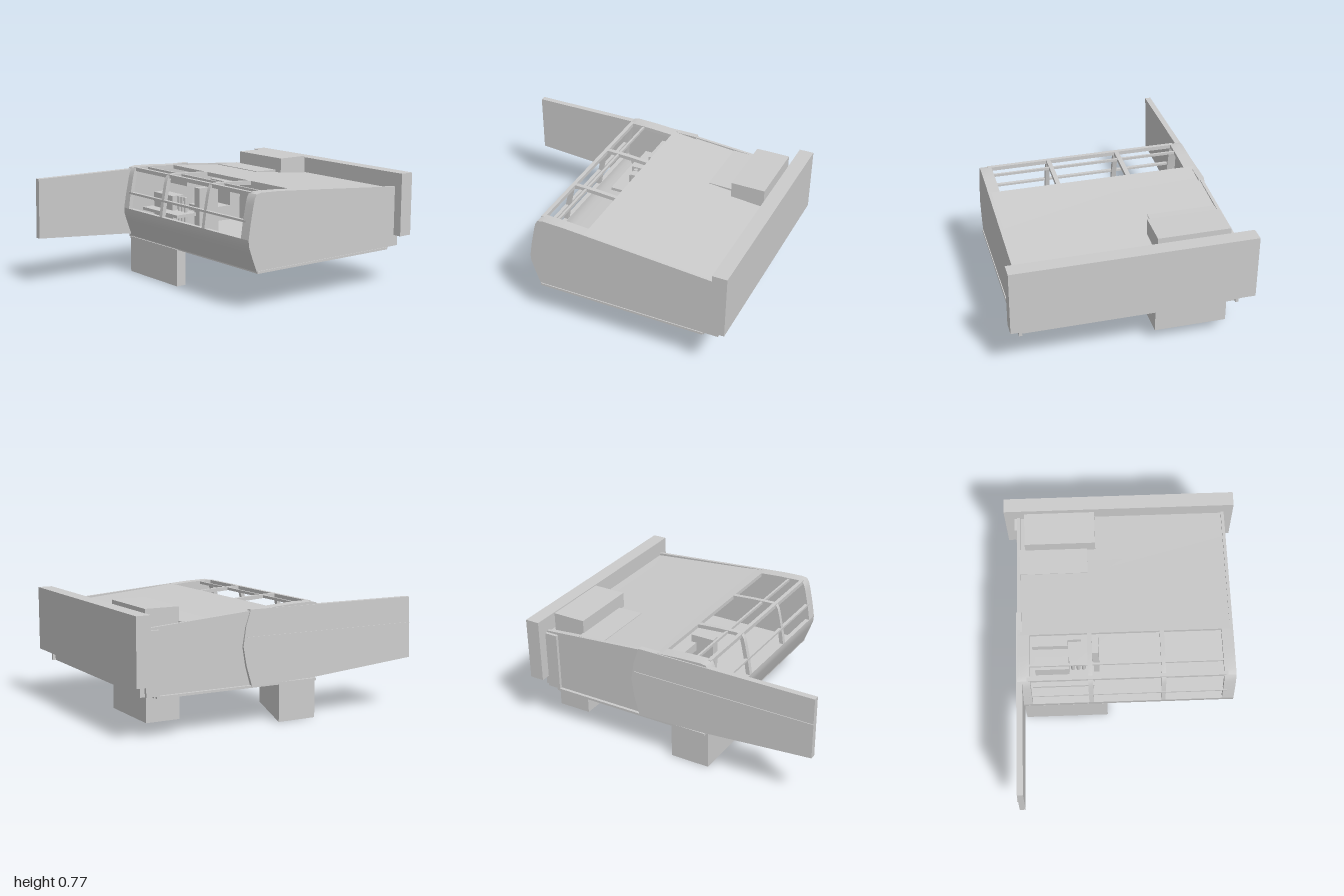
import * as THREE from 'three';
import { toCreasedNormals } from 'three/addons/utils/BufferGeometryUtils.js';

const material = new THREE.MeshStandardMaterial({ color: 0xcccccc, side: THREE.DoubleSide });

export function createModel() {
  const model = new THREE.Group();
  const add = (name, geometry) => {
    const mesh = new THREE.Mesh(geometry, material);
    mesh.name = name;
    model.add(mesh);
    return mesh;
  };
  // box given by its limits on each axis
  const box = (name, x0, x1, y0, y1, z0, z1) => {
    const g = new THREE.BoxGeometry(x1 - x0, y1 - y0, z1 - z0);
    g.translate((x0 + x1) / 2, (y0 + y1) / 2, (z0 + z1) / 2);
    return add(name, g);
  };
  // outline in (z, y), extruded from x0 to x1
  const prism = (name, points, x0, x1) => {
    const shape = new THREE.Shape(points.map(([z, y]) => new THREE.Vector2(z, y)));
    const g = new THREE.ExtrudeGeometry(shape, { depth: x1 - x0, bevelEnabled: false });
    g.rotateY(-Math.PI / 2).translate(x1, 0, 0);
    return add(name, toCreasedNormals(g, 0.5));
  };

  // curved nose: lower panel and window frame share one line
  const nose = [[0.272, 0.255], [0.298, 0.32], [0.32, 0.38], [0.334, 0.42], [0.337, 0.46]];
  const screen = [[0.337, 0.46], [0.322, 0.56], [0.3, 0.67], [0.29, 0.71], [0.275, 0.735],
    [0.24, 0.742], [0.1, 0.737], [-0.04, 0.727]];
  const noseInner = nose.map(([z, y]) => [z - 0.03, y]).reverse();
  const screenInner = screen.map(([z, y], i) =>
    (i < 4 ? [z - 0.028, y] : i < 6 ? [z - 0.025, y - 0.022] : [z, y - 0.025])).reverse();

  // front panel, corner pillars and mullions
  prism('frontPanel', [...nose, ...noseInner], -0.68, 0.7);
  for (const [x0, x1, name] of [[-0.68, -0.6, 'cornerPillar'], [0.625, 0.7, 'cornerPillar'],
    [-0.235, -0.205, 'windowMullion'], [0.23, 0.258, 'windowMullion']]) {
    prism(name, [...screen, ...screenInner], x0, x1);
  }

  // horizontal window bars
  box('middleWindowBar', -0.62, 0.65, 0.56, 0.574, 0.3, 0.322);
  box('upperWindowBar', -0.62, 0.65, 0.715, 0.74, 0.25, 0.275);
  box('roofWindowBar', -0.62, 0.65, 0.718, 0.735, 0.163, 0.177);

  // side walls
  const side = [...nose, ...screen.slice(1, 7), [-0.2, 0.715], [-0.94, 0.658], [-0.94, 0.26]];
  prism('leftSideWall', side, 0.68, 0.7);
  prism('rightSideWall', side, -0.68, -0.66);
  box('rightRearPost', -0.7, -0.68, 0.26, 0.65, -0.91, -0.82);
  box('leftSill', 0.69, 0.706, 0.245, 0.26, -0.84, 0.27);
  box('rightSill', -0.7, -0.68, 0.245, 0.26, -0.84, 0.27);

  // roof, hatch and floor
  prism('roof', [[-0.04, 0.727], [-0.2, 0.708], [-0.94, 0.642], [-0.94, 0.622], [-0.2, 0.688], [-0.04, 0.702]],
    -0.67, 0.69);
  prism('roofHatch', [[-0.48, 0.687], [-0.66, 0.682], [-0.66, 0.66], [-0.48, 0.675]], -0.67, -0.22);
  box('floor', -0.68, 0.7, 0.247, 0.265, -0.85, 0.272);
  box('rearBulkhead', -0.67, 0.69, 0.26, 0.64, -0.92, -0.895);

  // rear wall and the blocks around the body
  box('rearWall', -0.763, 0.76, 0.333, 0.752, -1, -0.905);
  box('rearBlock', -0.625, -0.165, 0.09, 0.768, -0.877, -0.655);

  // tapered step under the nose
  const plan = new THREE.Shape([[-0.67, -0.28], [-0.12, -0.28], [-0.12, -0.21], [-0.67, -0.015]]
    .map(([x, y]) => new THREE.Vector2(x, y)));
  const step = new THREE.ExtrudeGeometry(plan, { depth: 0.25, bevelEnabled: false });
  add('frontStep', step.rotateX(-Math.PI / 2));

  // long side door, leaning slightly inward at the top
  const lean = (mesh) => {
    const p = mesh.geometry.attributes.position;
    for (let i = 0; i < p.count; i++) p.setX(i, p.getX(i) + (p.getY(i) - 0.5) * 0.035);
    mesh.geometry.computeVertexNormals();
  };
  lean(prism('sideDoor', [[1, 0.327], [1, 0.555], [1, 0.724], [-0.2, 0.724], [-0.235, 0.62], [-0.255, 0.5],
    [-0.235, 0.38], [-0.2, 0.255], [0.25, 0.268]], -0.695, -0.657));
  lean(box('doorRail', -0.7, -0.69, 0.553, 0.558, -0.23, 1));

  // driver's desk and seat
  box('desk', -0.6, -0.2, 0.44, 0.46, 0.05, 0.22);
  box('deskFoot', -0.58, -0.36, 0.26, 0.56, 0.05, 0.14);
  box('deskScreen', -0.59, -0.36, 0.615, 0.67, -0.02, 0.02);
  box('seatCushion', -0.5, -0.28, 0.42, 0.46, -0.3, -0.1);
  box('seatBack', -0.5, -0.28, 0.46, 0.62, -0.33, -0.29);
  box('seatFoot', -0.43, -0.35, 0.26, 0.42, -0.24, -0.16);
  for (const x of [-0.335, -0.3, -0.265]) {
    const g = new THREE.CylinderGeometry(0.013, 0.013, 0.3, 12);
    add('deskPost', g.translate(x, 0.41, 0.1));
  }
  box('sideCabinet', -0.22, -0.165, 0.26, 0.63, -0.1, 0.06);
  return model;
}
